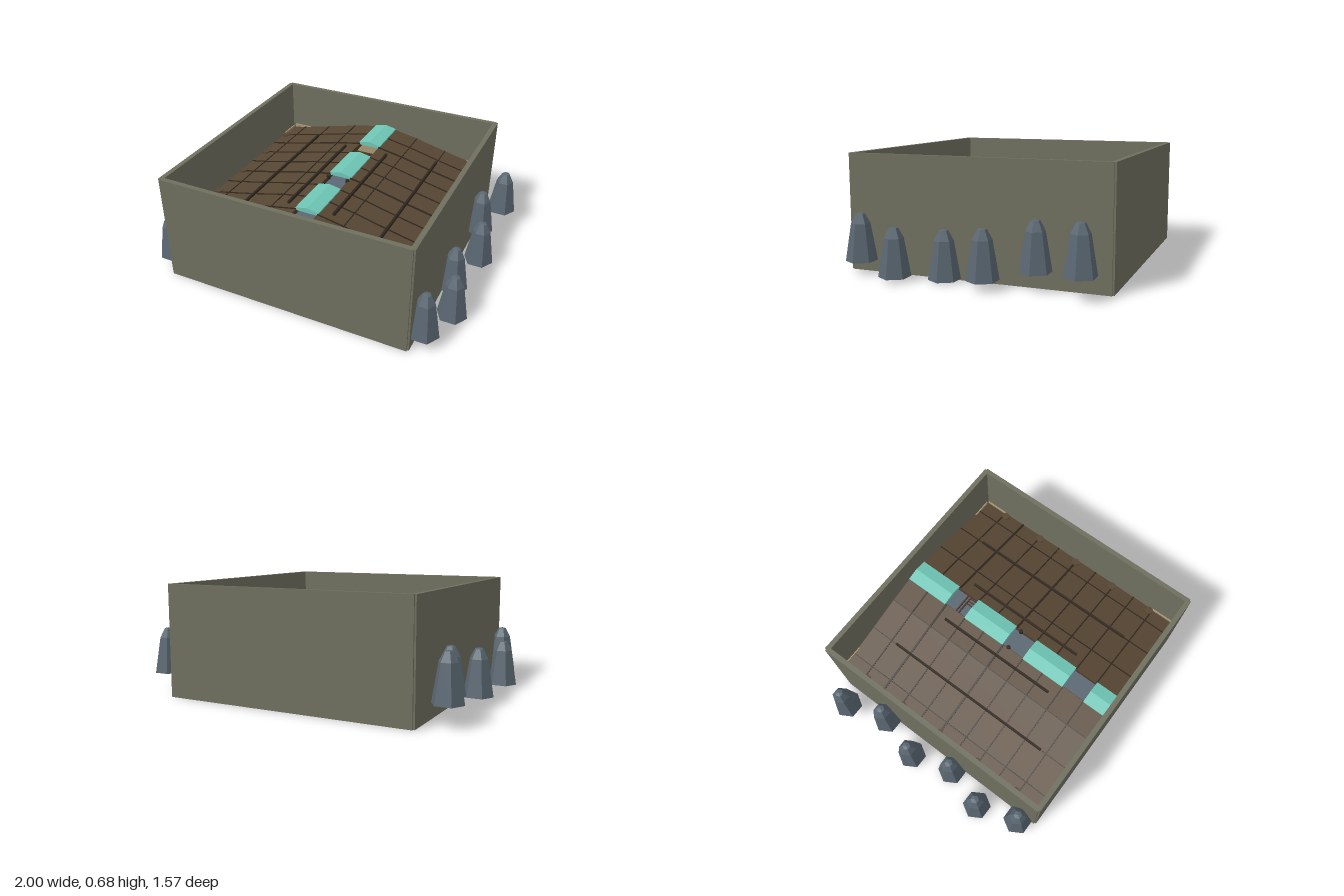
import * as THREE from 'three';

const mat = (name, color) => {
  const m = new THREE.MeshStandardMaterial({ color });
  m.name = name;
  return m;
};

export function createModel() {
  const wallOlive = mat('wallOlive', 0x6f6f5f);
  const slate = mat('slate', 0x5a6772);
  const roofBrown = mat('roofBrown', 0x574633);
  const seamBrown = mat('seamBrown', 0x30271e);
  const teal = mat('teal', 0x6fc6b6);
  const tan = mat('tan', 0xa99775);
  const postBrown = mat('postBrown', 0x4d3626);

  const model = new THREE.Group();
  const group = (name) => {
    const g = new THREE.Group();
    g.name = name;
    model.add(g);
    return g;
  };
  const add = (parent, name, geo, material, x = 0, y = 0, z = 0) => {
    const m = new THREE.Mesh(geo, material);
    m.name = name;
    m.position.set(x, y, z);
    parent.add(m);
    return m;
  };
  const box = (w, h, d) => new THREE.BoxGeometry(w, h, d);

  // Outer walls, open above and below
  const walls = group('outerWalls');
  for (const s of [-1, 1]) {
    add(walls, 'sideWall', box(0.03, 0.68, 1.55), wallOlive, s * 0.77, 0.34, 0);
    add(walls, 'endWall', box(1.55, 0.68, 0.03), wallOlive, 0, 0.34, s * 0.77);
  }

  // Gently convex roof profile from the ridge opening to the eave
  const profile = [[0.07, 0.485], [0.24, 0.452], [0.45, 0.4], [0.65, 0.355], [0.755, 0.335]];
  const roofY = (x) => {
    const i = profile.findIndex(([px]) => px >= x);
    const [x0, y0] = profile[i - 1], [x1, y1] = profile[i];
    return y0 + (y1 - y0) * (x - x0) / (x1 - x0);
  };

  // Inner house walls: low sides and gabled ends
  const house = group('houseWalls');
  const gable = new THREE.Shape();
  gable.moveTo(-0.75, 0.03);
  gable.lineTo(0.75, 0.03);
  [...profile].reverse().forEach(([x, y]) => gable.lineTo(Math.min(x, 0.75), y - 0.022));
  profile.forEach(([x, y]) => gable.lineTo(-Math.min(x, 0.75), y - 0.022));
  gable.closePath();
  const gableGeo = new THREE.ExtrudeGeometry(gable, { depth: 0.015, bevelEnabled: false });
  for (const s of [-1, 1]) {
    add(house, 'houseSide', box(0.015, 0.28, 1.5), tan, s * 0.747, 0.17, 0);
    add(house, 'gableEnd', gableGeo, tan, 0, 0, s * 0.747 - 0.0075);
    // Pale trim showing at the four roof corners
    for (const t of [-1, 1]) {
      add(house, 'cornerTrimSide', box(0.008, 0.03, 0.15), tan, s * 0.752, 0.335, t * 0.675);
      add(house, 'cornerTrimEnd', box(0.15, 0.03, 0.008), tan, s * 0.66, 0.35, t * 0.752);
    }
  }

  // Shallow bowl that rises toward the back
  const floorY = (x, z) => 0.115 - 0.06 * z + 0.03 * (x * x + z * z);

  // Round posts along all four house walls
  const posts = group('posts');
  const postGeo = new THREE.CylinderGeometry(0.022, 0.022, 0.22, 8);
  const capGeo = new THREE.CylinderGeometry(0.026, 0.026, 0.035, 8);
  const sideFeet = [0.1, 0.095, 0.07, 0.06, 0.09];
  const endFeet = [0.08, 0.07, 0.055, 0.065, 0.085];
  for (const s of [-1, 1]) {
    for (let i = 0; i < 5; i++) {
      const t = (i - 2) * 0.293;
      add(posts, 'sidePost', postGeo, postBrown, s * 0.725, sideFeet[i] + 0.11, t);
      add(posts, 'sidePostTop', capGeo, roofBrown, s * 0.73, 0.335, t);
      add(posts, 'sidePostFoot', capGeo, postBrown, s * 0.725, sideFeet[i], t);
      add(posts, 'endPost', postGeo, postBrown, t, endFeet[i] + 0.11, s * 0.72);
      add(posts, 'endPostFoot', capGeo, postBrown, t, endFeet[i], s * 0.72);
    }
  }

  // Curved floor slab with a shallow block beneath
  const floorGeo = new THREE.BoxGeometry(1.48, 0.02, 1.48, 16, 1, 16);
  const fp = floorGeo.attributes.position;
  for (let i = 0; i < fp.count; i++) fp.setY(i, fp.getY(i) + 0.01 + floorY(fp.getX(i), fp.getZ(i)));
  floorGeo.computeVertexNormals();
  add(model, 'floorSlab', floorGeo, slate);
  add(model, 'underBlock', box(0.48, 0.05, 0.28), wallOlive, 0, 0.13, -0.27);

  // Roof courses with seams at each step and between panels
  const roof = group('roof');
  for (const s of [-1, 1]) {
    for (let i = 1; i < profile.length; i++) {
      const [x0, y0] = profile[i - 1], [x1, y1] = profile[i];
      const len = Math.hypot(x1 - x0, y1 - y0);
      const course = new THREE.Group();
      course.name = 'roofCourse';
      course.position.set(s * (x0 + x1) / 2, (y0 + y1) / 2, 0);
      course.rotation.z = s * Math.atan2(y1 - y0, x1 - x0);
      roof.add(course);
      add(course, 'panels', box(len, 0.02, 1.51), roofBrown, 0, -0.01, 0);
      for (let k = -4; k <= 4; k++) {
        const wide = k === 0 || k === -3 ? 0.013 : 0.008;
        add(course, 'panelSeam', box(len, 0.006, wide), seamBrown, 0, 0.001, k * 0.151);
      }
      if (i > 1) add(course, 'courseSeam', box(0.006, 0.006, 1.51), seamBrown, -s * len / 2, 0.001, 0);
    }
    // Long raised battens
    for (const [x, half] of [[0.15, 0.4], [0.45, 0.565]]) {
      add(roof, 'batten', box(0.014, 0.018, half * 2), seamBrown, s * x, roofY(x) + 0.007, 0);
    }
    add(roof, 'ridgeBeam', box(0.008, 0.025, 1.51), postBrown, s * 0.071, 0.468, 0);
    add(roof, 'ridgePeg', new THREE.CylinderGeometry(0.013, 0.013, 0.025, 8), seamBrown, s * 0.066, 0.48, 0.035);
  }

  // Ridge caps, with three openings between them
  const capShape = new THREE.Shape();
  [[-0.076, 0.475], [0.076, 0.475], [0.076, 0.492], [0, 0.508], [-0.076, 0.492]]
    .forEach(([x, y], i) => (i ? capShape.lineTo(x, y) : capShape.moveTo(x, y)));
  const ridge = group('ridgeCaps');
  for (const [z0, z1] of [[-0.755, -0.46], [-0.305, -0.005], [0.15, 0.45], [0.605, 0.755]]) {
    const geo = new THREE.ExtrudeGeometry(capShape, { depth: z1 - z0, bevelEnabled: false });
    add(ridge, 'ridgeCap', geo, teal, 0, 0, z0);
  }
  // Small grate in the rear opening
  for (const z of [-0.385, -0.365, -0.31]) {
    add(ridge, 'grateBar', box(0.14, 0.012, 0.008), postBrown, 0, 0.46, z);
  }
  for (const x of [0.02, 0.04, 0.06]) {
    add(ridge, 'grateSlat', box(0.006, 0.01, 0.055), postBrown, x, 0.46, -0.337);
  }

  // Six-sided rocks along both sides
  const rockProfile = [[0, 0], [0.09, 0], [0.054, 0.217], [0.025, 0.272], [0, 0.278]]
    .map(([r, y]) => new THREE.Vector2(r, y));
  const rockGeo = new THREE.LatheGeometry(rockProfile, 6, Math.PI / 2).toNonIndexed();
  rockGeo.computeVertexNormals();
  const rocks = group('rocks');
  const spots = [[0.832, 0.07, 0.68], [0.91, 0.02, 0.415], [0.832, 0.01, 0.15],
    [0.91, 0.05, -0.115], [0.832, 0.1, -0.38], [0.91, 0.12, -0.645]];
  for (const s of [-1, 1]) {
    for (const [x, y, z] of spots) add(rocks, 'rock', rockGeo, slate, s * x, y, z);
  }

  return model;
}
